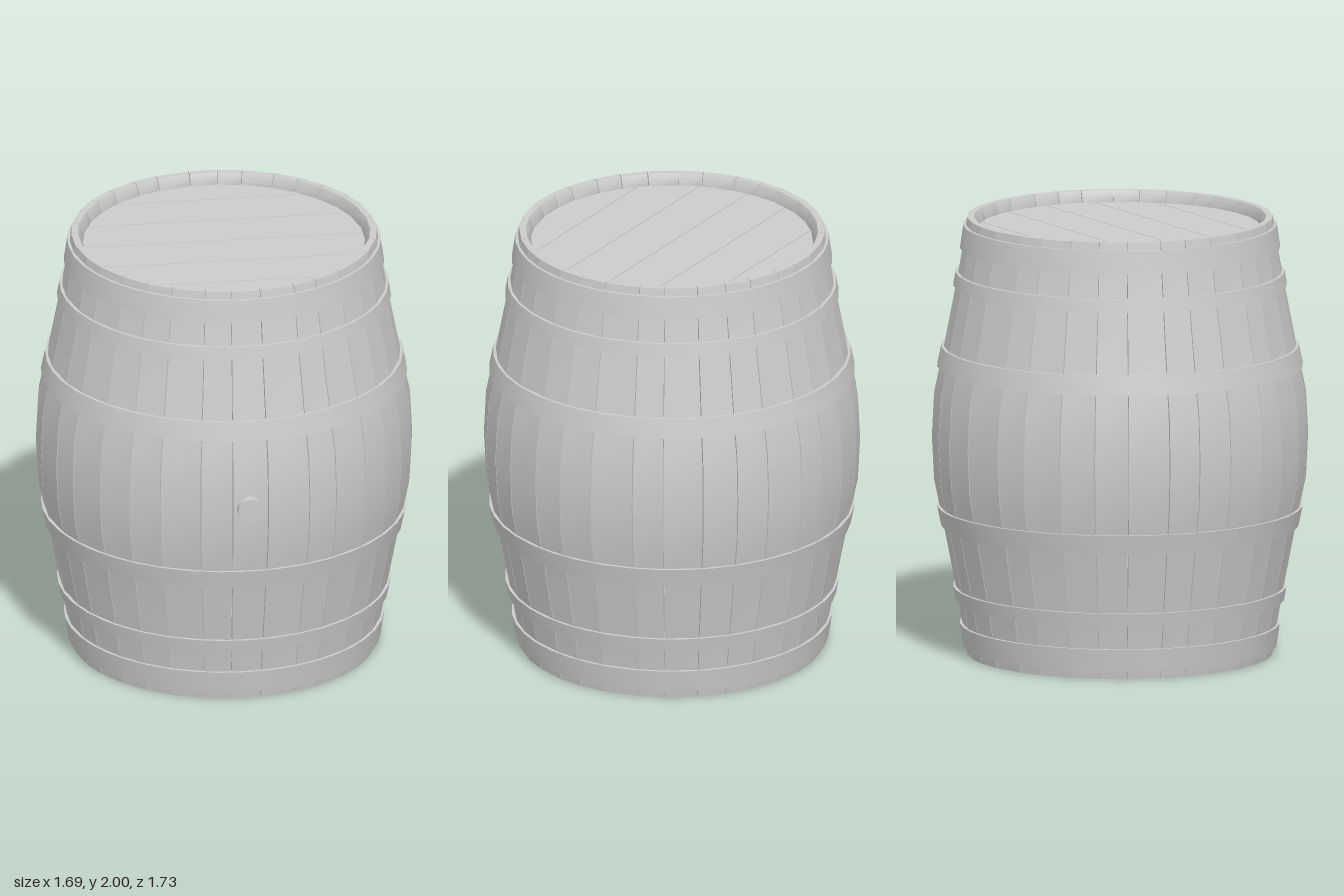
import * as THREE from 'three';
import { toCreasedNormals } from 'three/addons/utils/BufferGeometryUtils.js';

const material = new THREE.MeshStandardMaterial({ color: 0xcccccc });

// Outer barrel profile, [height, radius], mirrored above the middle
const LEVELS = [[0, 0.69], [0.05, 0.699], [0.15, 0.713], [0.31, 0.742], [0.6, 0.798], [0.8, 0.84], [1, 0.85]];
const HEIGHTS = [...LEVELS.map((l) => l[0]), ...LEVELS.slice(0, -1).reverse().map((l) => 2 - l[0])];

function radiusAt(y) {
  const h = Math.min(y, 2 - y);
  for (let i = 1; i < LEVELS.length; i++) {
    const [y0, r0] = LEVELS[i - 1], [y1, r1] = LEVELS[i];
    if (h <= y1) return r0 + (r1 - r0) * (h - y0) / (y1 - y0);
  }
  return 0.85;
}

function makeMesh(name, geometry) {
  const mesh = new THREE.Mesh(geometry, material);
  mesh.name = name;
  return mesh;
}

// One bent board: a box wrapped onto the barrel profile
function staveGeometry(start, end) {
  const rows = HEIGHTS.length - 1;
  const geometry = new THREE.BoxGeometry(1, rows, 1, 1, rows, 1);
  const p = geometry.attributes.position;
  for (let i = 0; i < p.count; i++) {
    const row = Math.round(p.getY(i) + rows / 2);
    const y = HEIGHTS[row];
    const atEnd = row === 0 || row === rows; // ends are chamfered on the inside
    const r = radiusAt(y) - (p.getZ(i) > 0 ? 0 : atEnd ? 0.03 : 0.062);
    const a = p.getX(i) < 0 ? start : end;
    p.setXYZ(i, r * Math.sin(a), y, r * Math.cos(a));
  }
  geometry.computeVertexNormals();
  return geometry;
}

// Metal band that follows the slope of the barrel
function hoopGeometry(y0, y1) {
  const out = 0.012, inn = -0.012;
  const points = [[y0, inn], [y0, out], [y1, out], [y1, inn], [y0, inn]]
    .map(([y, d]) => new THREE.Vector2(radiusAt(y) + d, y));
  return toCreasedNormals(new THREE.LatheGeometry(points, 40), 0.6);
}

// Board of a round lid, cut from the circle between z0 and z1
function headBoardGeometry(z0, z1, radius, thickness) {
  const a0 = Math.asin(z0 / radius), a1 = Math.asin(z1 / radius);
  const right = [], left = [];
  for (let i = 0; i <= 8; i++) {
    const a = a0 + (a1 - a0) * i / 8;
    right.push(new THREE.Vector2(radius * Math.cos(a), radius * Math.sin(a)));
    left.unshift(new THREE.Vector2(-radius * Math.cos(a), radius * Math.sin(a)));
  }
  const geometry = new THREE.ExtrudeGeometry(new THREE.Shape([...right, ...left]), { depth: thickness, bevelEnabled: false });
  return geometry.rotateX(Math.PI / 2);
}

export function createModel() {
  const barrel = new THREE.Group();
  barrel.name = 'barrel';

  // Staves of slightly uneven width
  const staves = new THREE.Group();
  staves.name = 'staves';
  const widths = [11, 13.5, 9.6, 12.2, 11, 10.4, 12.8, 9.8];
  const count = 32;
  const total = widths.reduce((a, b) => a + b) * count / widths.length;
  const gap = 0.0025;
  let angle = -THREE.MathUtils.degToRad(5.2);
  for (let i = 0; i < count; i++) {
    const next = angle + widths[i % widths.length] / total * Math.PI * 2;
    staves.add(makeMesh('stave', staveGeometry(angle + gap, next - gap)));
    angle = next;
  }
  barrel.add(staves);

  // Three hoops on each half
  const hoops = new THREE.Group();
  hoops.name = 'hoops';
  for (const [y0, y1] of [[0.035, 0.14], [0.25, 0.31], [0.59, 0.68]]) {
    hoops.add(makeMesh('lowerHoop', hoopGeometry(y0, y1)));
    hoops.add(makeMesh('upperHoop', hoopGeometry(2 - y1, 2 - y0)));
  }
  barrel.add(hoops);

  // Planked lids, recessed inside the rims
  const R = 0.65, T = 0.04;
  const joints = [-R, -0.475, -0.24, -0.01, 0.22, 0.455, R];
  for (const [name, y] of [['topHead', 1.95], ['bottomHead', 0.05 + T]]) {
    const head = new THREE.Group();
    head.name = name;
    for (let i = 0; i < joints.length - 1; i++) {
      const z0 = joints[i] + (i ? 0.002 : 0);
      const z1 = joints[i + 1] - (i < joints.length - 2 ? 0.002 : 0);
      head.add(makeMesh('headBoard', headBoardGeometry(z0, z1, R, T)));
    }
    head.position.y = y;
    barrel.add(head);
  }

  // Bung plugged into the front
  const bung = makeMesh('bung', toCreasedNormals(new THREE.CylinderGeometry(0.058, 0.058, 0.085, 16).rotateX(Math.PI / 2), 0.6));
  bung.position.set(0, 1, 0.8425);
  barrel.add(bung);

  barrel.position.z = -0.015;
  const model = new THREE.Group();
  model.name = 'model';
  model.add(barrel);
  return model;
}
